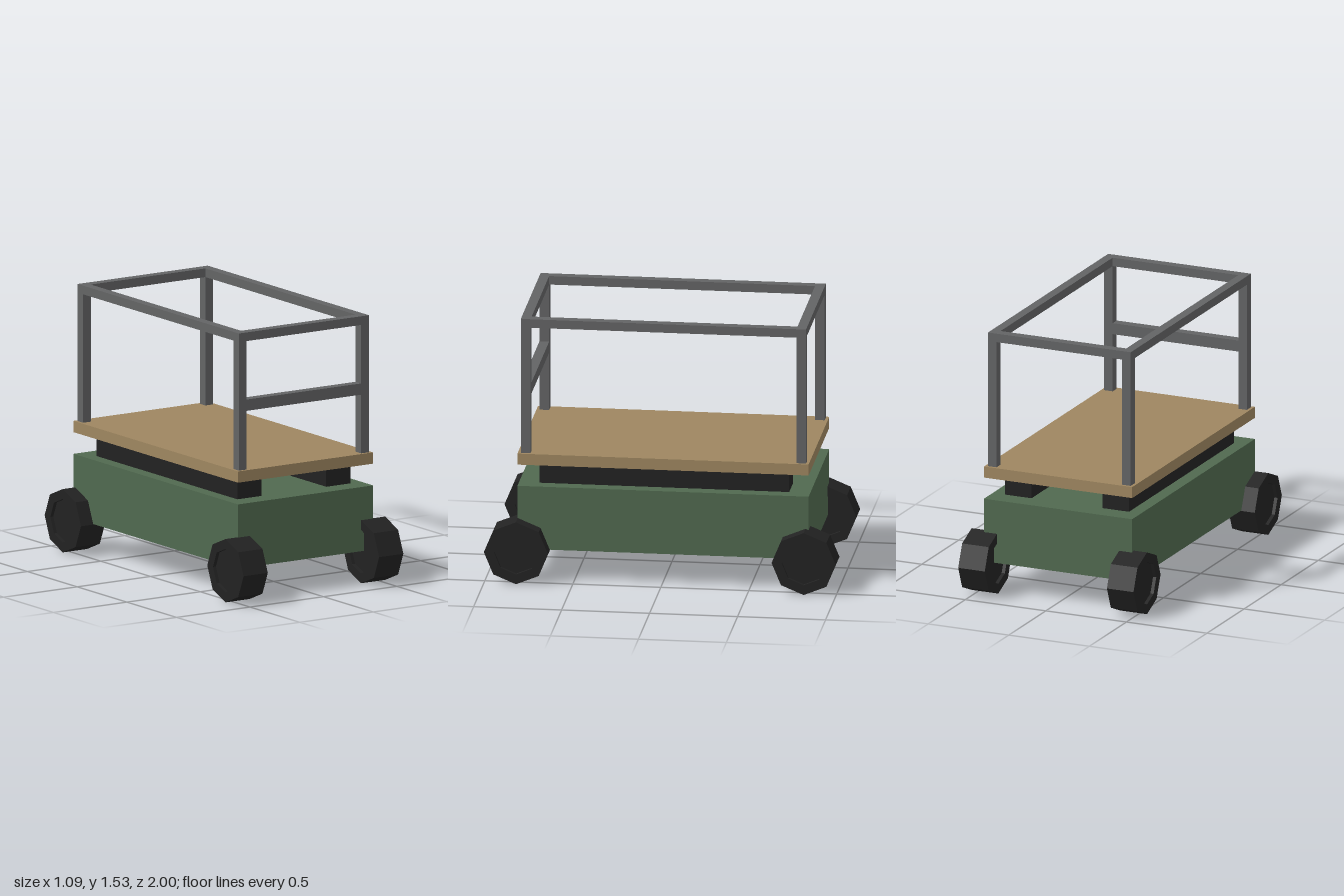
import * as THREE from 'three';

const material = (name, color) => {
  const m = new THREE.MeshStandardMaterial({ color });
  m.name = name;
  return m;
};

export function createModel() {
  const model = new THREE.Group();
  model.name = 'platformLift';
  const green = material('bodyGreen', 0x50694f);
  const wood = material('deckTan', 0x9e8660);
  const grey = material('railGrey', 0x636465);
  const black = material('rubberBlack', 0x222222);

  // Box given by its limits on each axis
  const box = (name, mat, [x0, x1], [y0, y1], [z0, z1]) => {
    const mesh = new THREE.Mesh(new THREE.BoxGeometry(x1 - x0, y1 - y0, z1 - z0), mat);
    mesh.position.set((x0 + x1) / 2, (y0 + y1) / 2, (z0 + z1) / 2);
    mesh.name = name;
    model.add(mesh);
  };

  // Chassis and deck
  box('chassis', green, [-0.46, 0.46], [0.185, 0.555], [-0.835, 0.82]);
  box('deck', wood, [-0.46, 0.46], [0.68, 0.745], [-0.835, 0.82]);

  // Eight-sided wheel with a recessed hub on both faces
  const R = 0.1825, r = 0.125, h = 0.0825, d = 0.02;
  const profile = [[0, d - h], [r, d - h], [r, -h], [R, -h], [R, h], [r, h], [r, h - d], [0, h - d]]
    .map(([x, y]) => new THREE.Vector2(x, y));
  const wheelGeometry = new THREE.LatheGeometry(profile, 8).toNonIndexed();
  wheelGeometry.computeVertexNormals();
  wheelGeometry.rotateZ(Math.PI / 2);

  for (const s of [-1, 1]) {
    const side = s > 0 ? 'left' : 'right';
    const span = (a, b) => (s > 0 ? [a, b] : [-b, -a]);

    // Lift beams between chassis and deck
    box(side + 'LiftBeam', black, span(0.22, 0.385), [0.555, 0.68], [-0.715, 0.703]);

    // Corner posts and long top rails
    box(side + 'FrontPost', grey, span(0.39, 0.443), [0.745, 1.485], [0.748, 0.803]);
    box(side + 'BackPost', grey, span(0.39, 0.443), [0.745, 1.485], [-0.818, -0.763]);
    box(side + 'TopRail', grey, span(0.39, 0.443), [1.485, 1.535], [-0.818, 0.803]);

    for (const z of [0.8175, -0.8175]) {
      const wheel = new THREE.Mesh(wheelGeometry, black);
      wheel.name = side + (z > 0 ? 'FrontWheel' : 'BackWheel');
      wheel.position.set(s * 0.4615, R, z);
      model.add(wheel);
    }
  }

  // Cross rails
  box('frontTopRail', grey, [-0.39, 0.39], [1.485, 1.535], [0.748, 0.803]);
  box('backTopRail', grey, [-0.39, 0.39], [1.485, 1.535], [-0.818, -0.763]);
  box('frontMidRail', grey, [-0.39, 0.39], [1.083, 1.148], [0.748, 0.803]);

  return model;
}
